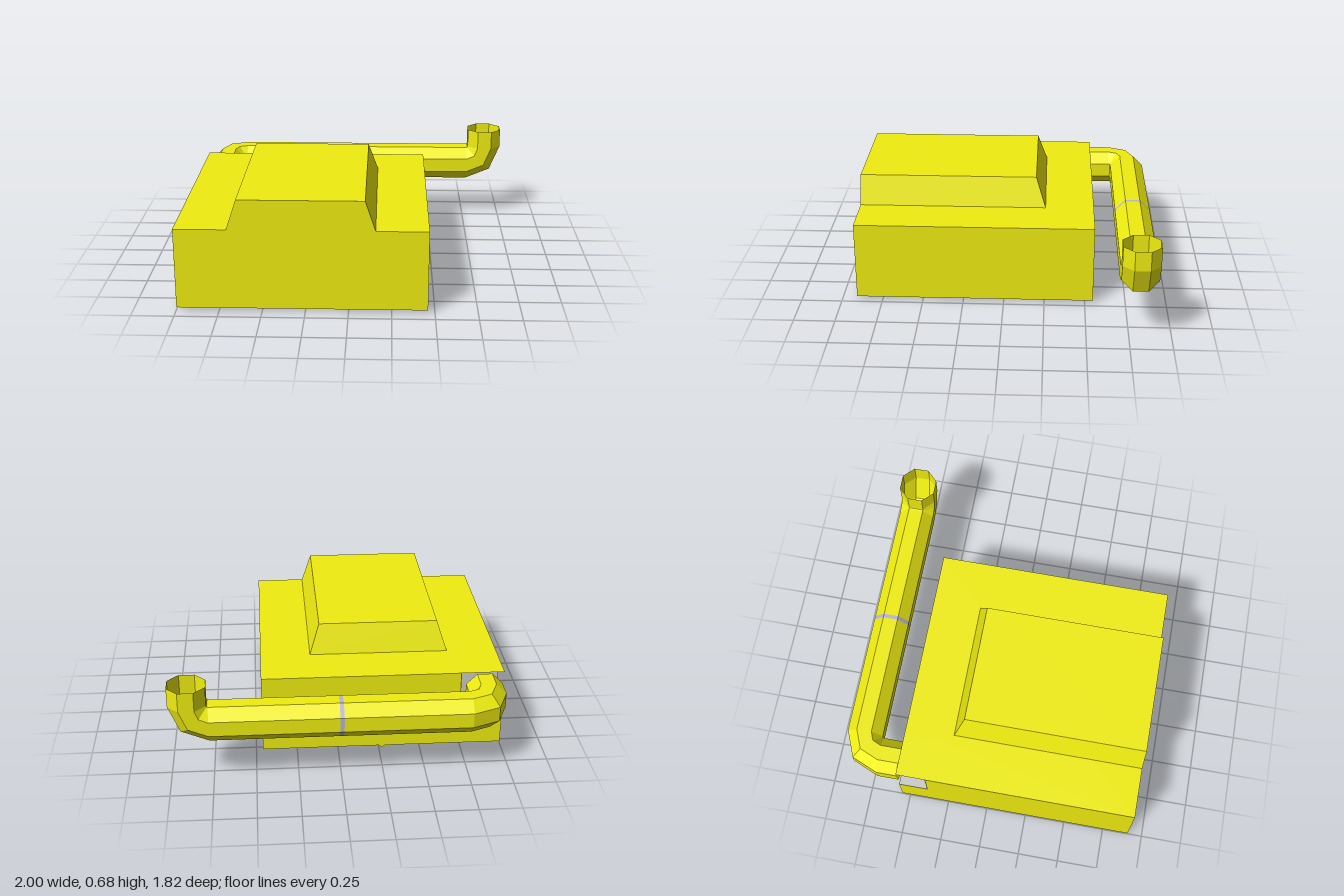
import * as THREE from 'three';

const paint = (color, side = THREE.FrontSide) =>
  new THREE.MeshStandardMaterial({ color, side, flatShading: true });
const V = (x, y, z) => new THREE.Vector3(x, y, z);

// Rectangle in plan; z is stored negated so extrusion can be turned upright
const plan = (...pts) => new THREE.Shape(pts.map(([x, z]) => new THREE.Vector2(x, -z)));

function slab(shape, y0, y1) {
  const g = new THREE.ExtrudeGeometry(shape, { depth: y1 - y0, bevelEnabled: false });
  return g.rotateX(-Math.PI / 2).translate(0, y0, 0);
}

// Closed or open surface lofted between loops of points
function loft(loops, capped = false) {
  const n = loops[0].length, pos = [];
  const tri = (...p) => p.forEach((q) => pos.push(q.x, q.y, q.z));
  for (let i = 0; i + 1 < loops.length; i++) {
    for (let j = 0; j < n; j++) {
      const k = (j + 1) % n, a = loops[i], b = loops[i + 1];
      tri(a[j], a[k], b[k]);
      tri(a[j], b[k], b[j]);
    }
  }
  if (capped) {
    const a = loops[0], b = loops[loops.length - 1];
    for (let j = 1; j + 1 < n; j++) {
      tri(a[0], a[j + 1], a[j]);
      tri(b[0], b[j], b[j + 1]);
    }
  }
  const g = new THREE.BufferGeometry();
  g.setAttribute('position', new THREE.Float32BufferAttribute(pos, 3));
  g.computeVertexNormals();
  return g;
}

// Eight-sided pipe section with flat sides facing the axes
function octagon(centre, direction, side) {
  const up = direction.clone().cross(side).normalize();
  const r = 0.11 / Math.cos(Math.PI / 8);
  return Array.from({ length: 8 }, (_, i) => {
    const a = (i + 0.5) * Math.PI / 4;
    return centre.clone().addScaledVector(side, -r * Math.cos(a)).addScaledVector(up, -r * Math.sin(a));
  });
}

export function createModel() {
  const model = new THREE.Group();
  const yellow = paint(0xf0ee10), yellowThin = paint(0xf0ee10, THREE.DoubleSide);
  const grey = paint(0xcccccc, THREE.DoubleSide);
  const add = (name, geometry, material = yellow) => {
    const m = new THREE.Mesh(geometry, material);
    m.name = name;
    model.add(m);
    return m;
  };
  const L = -1, R = 0.46, B = -0.55, F = 0.91, NX = -0.74, NZ = -0.37, NY = 0.255;

  // Body: floor with a small socket, lower block, and upper block notched for the pipe
  const full = () => plan([L, F], [R, F], [R, B], [L, B]);
  const floor = full();
  floor.holes.push(plan([-0.325, 0.125], [-0.215, 0.125], [-0.215, 0.235], [-0.325, 0.235]));
  add('floor', slab(floor, 0.015, 0.055));
  add('lowerBody', slab(full(), 0.055, NY));
  add('upperBody', slab(plan([L, F], [R, F], [R, B], [NX, B], [NX, NZ], [L, NZ]), NY, 0.5));

  // Lid and grey lining of the pipe notch
  const w = NX - L, d = NZ - B, h = 0.5 - NY;
  const cx = (L + NX) / 2, cz = (B + NZ) / 2, cy = NY + h / 2;
  add('notchLid', new THREE.PlaneGeometry(w, d).rotateX(-Math.PI / 2).translate(cx, 0.5, cz), yellowThin);
  add('notchFloor', new THREE.PlaneGeometry(w, d).rotateX(-Math.PI / 2).translate(cx, NY + 0.002, cz), grey);
  add('notchSideWall', new THREE.PlaneGeometry(d, h).rotateY(-Math.PI / 2).translate(NX - 0.002, cy, cz), grey);
  add('notchInnerWall', new THREE.PlaneGeometry(w, h).rotateY(Math.PI).translate(cx, cy, NZ - 0.002), grey);

  // Raised block with sloping sides and back, flush at the front
  const rect = (x0, x1, z0, y) => [V(x0, y, F), V(x1, y, F), V(x1, y, z0), V(x0, y, z0)];
  add('raisedTop', loft([rect(-0.695, 0.155, -0.25, 0.5), rect(-0.635, 0.095, -0.19, 0.68)], true));

  // Shallow keel under the back edge
  const keel = (z, y) => [V(-0.29, 0.016, z), V(-0.27, y, z), V(-0.25, 0.016, z)];
  add('underKeel', loft([keel(-0.25, 0.015), keel(B, 0)], true), yellowThin);

  // Pipe: out of the notch, round the corner, along the back, then up
  const first = [octagon(V(-0.88, 0.38, B), V(0, 0, -1), V(1, 0, 0))];
  for (let i = 0; i <= 2; i++) {
    const a = i * Math.PI / 4, s = V(Math.cos(a), 0, Math.sin(a));
    first.push(octagon(V(-0.76, 0.38, -0.68).addScaledVector(s, -0.12), V(Math.sin(a), 0, -Math.cos(a)), s));
  }
  const across = (x) => octagon(V(x, 0.38, -0.8), V(1, 0, 0), V(0, 0, 1));
  first.push(across(-0.012));
  const second = [across(0.012)];
  for (let i = 0; i <= 2; i++) {
    const a = i * Math.PI / 4;
    const c = V(0.765 + 0.12 * Math.sin(a), 0.5 - 0.12 * Math.cos(a), -0.8);
    second.push(octagon(c, V(Math.cos(a), Math.sin(a), 0), V(0, 0, 1)));
  }
  second.push(octagon(V(0.885, 0.62, -0.8), V(0, 1, 0), V(0, 0, 1)));
  add('pipeInlet', loft(first), yellowThin);
  add('pipeOutlet', loft(second), yellowThin);
  add('pipeJoint', loft([across(-0.012), across(0.012)]), paint(0xb8b4d8, THREE.DoubleSide));

  return model;
}
